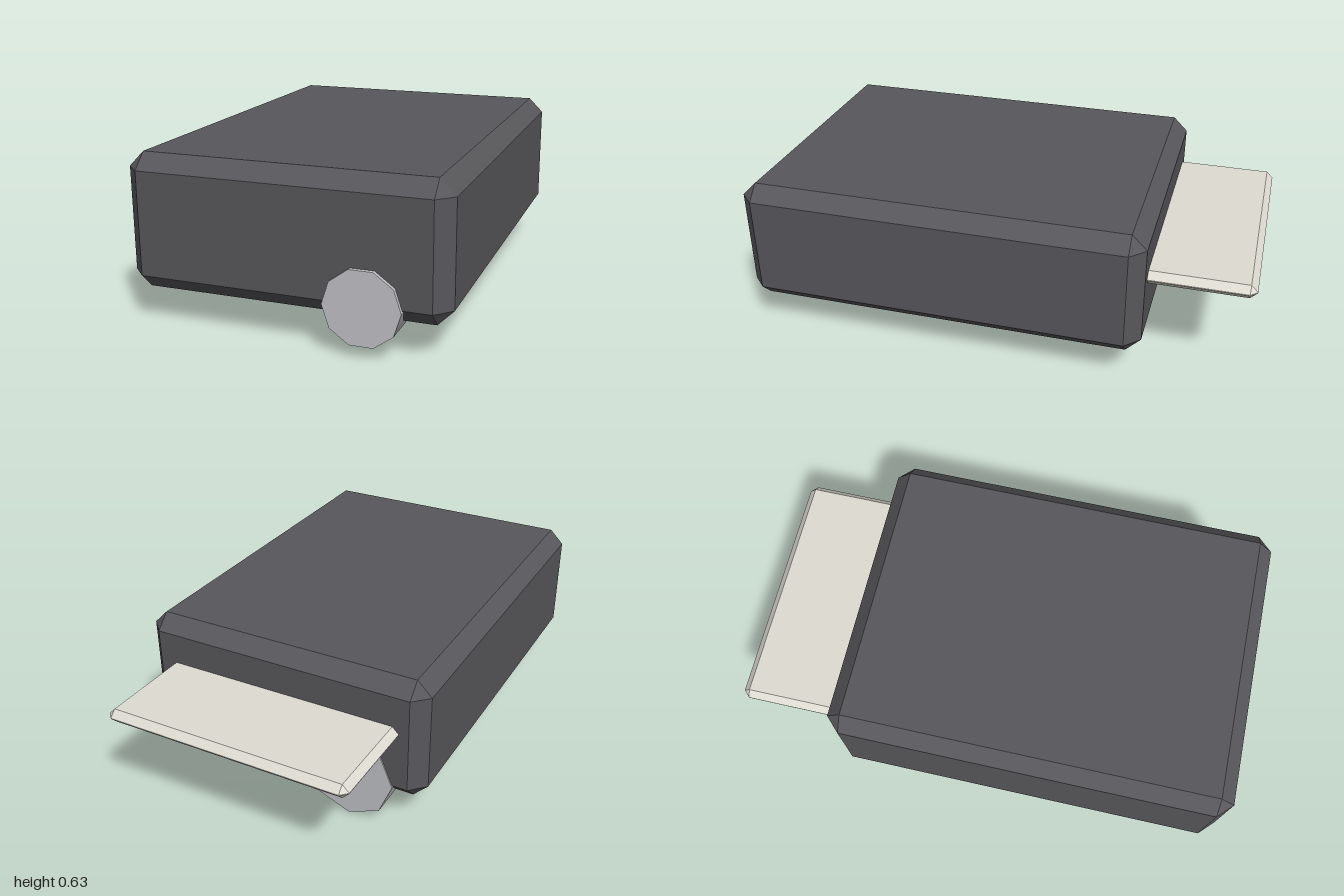
import * as THREE from 'three';
import { ConvexGeometry } from 'three/addons/geometries/ConvexGeometry.js';

// Box with all edges and corners cut off at 45 degrees
function chamferBox(w, h, d, c) {
  const half = [w / 2, h / 2, d / 2];
  const points = [];
  for (let axis = 0; axis < 3; axis++) {
    for (const sx of [-1, 1]) for (const sy of [-1, 1]) for (const sz of [-1, 1]) {
      const p = [sx, sy, sz].map((s, i) => s * (half[i] - (i === axis ? 0 : c)));
      points.push(new THREE.Vector3(...p));
    }
  }
  return new ConvexGeometry(points);
}

export function createModel() {
  const model = new THREE.Group();

  function add(name, geometry, color, x, y, z, flat = true) {
    const material = new THREE.MeshStandardMaterial({ color, flatShading: flat });
    const mesh = new THREE.Mesh(geometry, material);
    mesh.name = name;
    mesh.position.set(x, y, z);
    model.add(mesh);
    return mesh;
  }

  // Main block
  add('body', chamferBox(1.19, 0.5, 1.59, 0.058), 0x58585c, 0, 0.38, 0.19);

  // Thin plate sticking out of the back
  add('plate', chamferBox(0.99, 0.055, 0.5, 0.026), 0xdfdcd3, -0.003, 0.422, -0.75);

  // Front disc: ten sides, facing forward, rear rim cut back at top and bottom
  const front = new THREE.CylinderGeometry(0.14, 0.14, 0.155, 10, 1, false, Math.PI / 2);
  front.rotateX(Math.PI / 2);
  const pos = front.attributes.position;
  for (let i = 0; i < pos.count; i++) {
    if (pos.getZ(i) < 0 && Math.abs(pos.getY(i)) > 0.12) pos.setZ(i, pos.getZ(i) + 0.035);
  }
  front.computeVertexNormals();
  add('frontDisc', front, 0xc2c3c7, 0.297, 0.181, 0.9225, false);

  // Rear disc: eight sides with a corner pointing down
  const rear = new THREE.CylinderGeometry(0.179, 0.179, 0.135, 8);
  rear.rotateX(Math.PI / 2);
  add('rearDisc', rear, 0xc2c3c7, -0.3, 0.181, -0.5425);

  return model;
}
